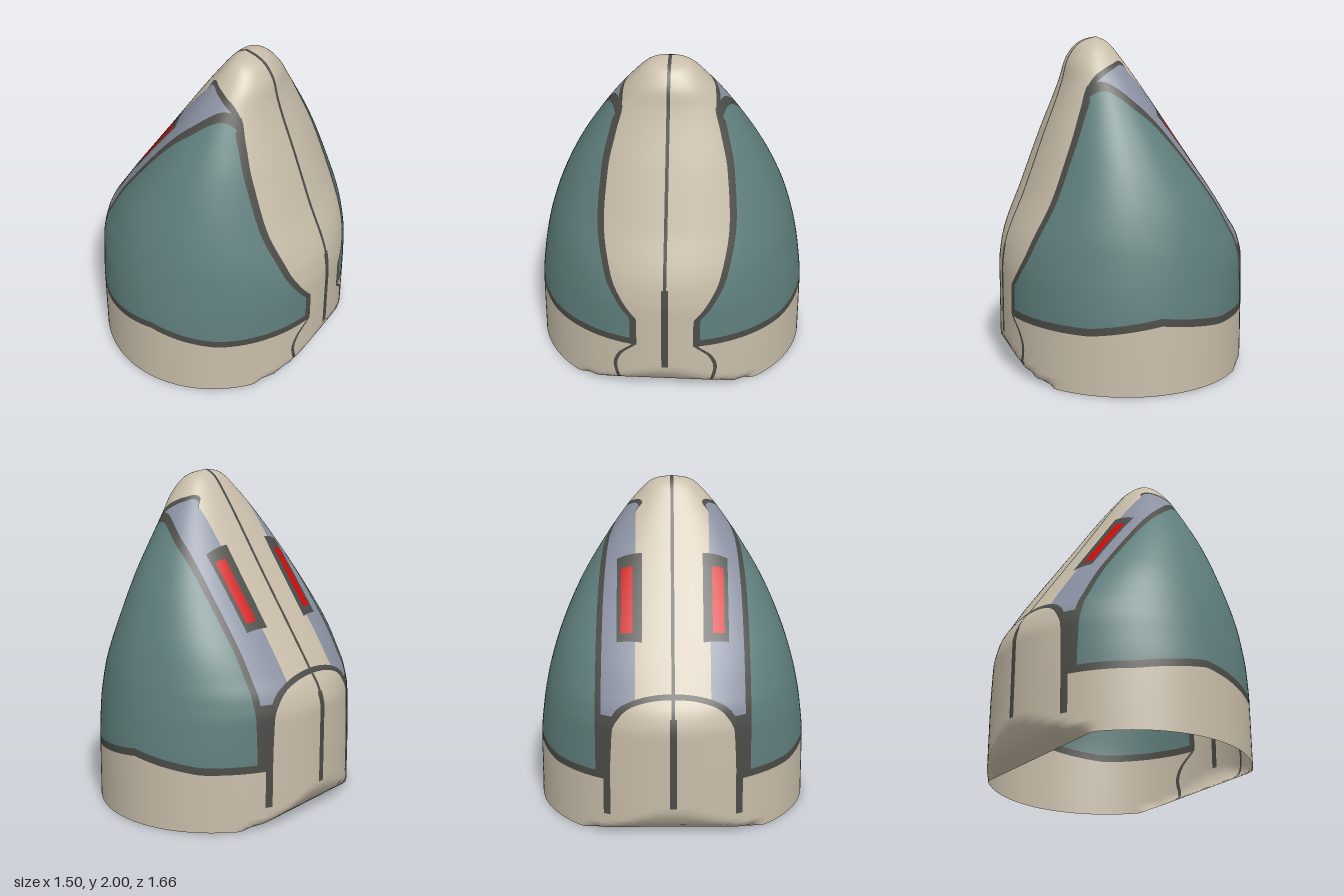
import * as THREE from 'three';

const mat = (name, color) => {
  const m = new THREE.MeshStandardMaterial({ color, side: THREE.DoubleSide });
  m.name = name;
  return m;
};

// Monotone smooth curve through [t, value] points
function curve(pts) {
  const n = pts.length;
  const d = pts.slice(1).map((p, i) => (p[1] - pts[i][1]) / (p[0] - pts[i][0]));
  const m = pts.map((p, i) => {
    if (i === 0) return d[0];
    if (i === n - 1) return d[n - 2];
    return d[i - 1] * d[i] <= 0 ? 0 : 2 * d[i - 1] * d[i] / (d[i - 1] + d[i]);
  });
  return t => {
    if (t <= pts[0][0]) return pts[0][1];
    if (t >= pts[n - 1][0]) return pts[n - 1][1];
    let i = 0;
    while (t > pts[i + 1][0]) i++;
    const h = pts[i + 1][0] - pts[i][0], s = (t - pts[i][0]) / h, s2 = s * s, s3 = s2 * s;
    return (2 * s3 - 3 * s2 + 1) * pts[i][1] + (s3 - 2 * s2 + s) * h * m[i]
      + (3 * s2 - 2 * s3) * pts[i + 1][1] + (s3 - s2) * h * m[i + 1];
  };
}

// Shell outline by height: low-x edge, high-x edge, half width in z, tucked-in hem
const lowX = curve([[0, -0.75], [0.66, -0.75], [0.78, -0.72], [0.88, -0.655], [1.4, -0.305],
  [1.9, 0.03], [1.95, 0.07], [1.98, 0.105], [2, 0.15]]);
const highX = curve([[0, 0.75], [0.6, 0.75], [0.74, 0.735], [1.1, 0.6], [1.4, 0.49], [1.75, 0.36],
  [1.85, 0.335], [1.9, 0.31], [1.95, 0.27], [1.98, 0.22], [2, 0.15]]);
const halfZ = curve([[0, 0.83], [0.4, 0.825], [0.6, 0.805], [0.8, 0.77], [1, 0.715], [1.2, 0.64],
  [1.4, 0.545], [1.6, 0.425], [1.8, 0.285], [1.9, 0.2], [1.95, 0.15], [1.98, 0.1], [2, 0]]);
const hem = curve([[0, 0.57], [0.03, 0.64], [0.08, 0.7], [0.14, 0.735], [0.2, 0.76]]);

// Lofted shell as triangles of [x, y, z, nx, ny, nz] corners
function shellTriangles(cols, rows) {
  const pos = [], index = [];
  const pw = (v, e) => Math.sign(v) * Math.abs(v) ** e;
  for (let r = 0; r <= rows; r++) {
    const y = 2 * Math.sin(r / rows * Math.PI / 2);
    const a = lowX(y), b = highX(y), w = halfZ(y);
    const blend = THREE.MathUtils.smoothstep(y, 0.7, 1.1);
    for (let c = 0; c < cols; c++) {
      const t = c / cols * Math.PI * 2, co = Math.cos(t), si = c % (cols / 2) ? Math.sin(t) : 0;
      const e = 2 / (2 + blend * (co < 0 ? 0.35 : 0.1));
      const x = (a + b) / 2 + (b - a) / 2 * pw(co, e);
      pos.push(THREE.MathUtils.clamp(x, -hem(y), hem(y)), y, w * pw(si, e));
      if (r < rows) {
        const p = r * cols + c, q = r * cols + (c + 1) % cols;
        index.push(p, p + cols, q, q, p + cols, q + cols);
      }
    }
  }
  const g = new THREE.BufferGeometry();
  g.setAttribute('position', new THREE.Float32BufferAttribute(pos, 3));
  g.setIndex(index);
  g.computeVertexNormals();
  const nor = g.attributes.normal.array;
  const corner = i => [...pos.slice(i * 3, i * 3 + 3), ...nor.slice(i * 3, i * 3 + 3)];
  const tris = [];
  for (let i = 0; i < index.length; i += 3) tris.push([0, 1, 2].map(k => corner(index[i + k])));
  return tris;
}

// Cut triangles along rules f(x, y, |z|, z) > 0; returns [inside all rules, the rest]
function split(tris, rules) {
  const rest = [];
  let inside = tris;
  for (const f of rules) {
    const next = [];
    for (const tri of inside) {
      const v = tri.map(p => f(p[0], p[1], Math.abs(p[2]), p[2]));
      const parts = [[], []];
      for (let i = 0; i < 3; i++) {
        const j = (i + 1) % 3;
        parts[v[i] > 0 ? 0 : 1].push(tri[i]);
        if ((v[i] > 0) !== (v[j] > 0)) {
          const s = v[i] / (v[i] - v[j]);
          const cut = tri[i].map((q, k) => q + (tri[j][k] - q) * s);
          parts[0].push(cut);
          parts[1].push(cut);
        }
      }
      parts.forEach((poly, k) => {
        for (let i = 2; i < poly.length; i++) (k ? rest : next).push([poly[0], poly[i - 1], poly[i]]);
      });
    }
    inside = next;
  }
  return [inside, rest];
}

function patch(name, tris, material) {
  const flat = tris.flat();
  const g = new THREE.BufferGeometry();
  g.setAttribute('position', new THREE.Float32BufferAttribute(flat.flatMap(p => p.slice(0, 3)), 3));
  g.setAttribute('normal', new THREE.Float32BufferAttribute(flat.flatMap(p => p.slice(3)), 3));
  const mesh = new THREE.Mesh(g, material);
  mesh.name = name;
  return mesh;
}

// Panel outlines
const ridgeEdge = curve([[0.36, 0.17], [0.54, 0.17], [0.58, 0.2], [0.65, 0.25], [0.8, 0.32],
  [1.1, 0.367], [1.4, 0.345], [1.6, 0.3], [1.75, 0.265], [1.85, 0.27]]);
const bandEdge = curve([[-0.7, 0.22], [0.02, 0.22], [0.04, 0.18], [0.12, 0.235], [0.2, 0.265], [0.28, 0.27]]);
const sideEdge = curve([[-0.7, 0.46], [-0.3, 0.45], [0, 0.42], [0.2, 0.34], [0.28, 0.31]]);
const hemLine = x => 0.355 + 0.06 * Math.max(0, 1 - Math.abs(x) / 0.4);
const cheekLine = curve([[0.05, 0.27], [0.1, 0.29], [0.18, 0.305], [0.26, 0.28], [0.36, 0.18]]);
const box = (x0, x1, z0, z1) => [
  (x, y, a) => x - x0 - (a - z0) * 0.2, (x, y, a) => x1 - x - (z1 - a) * 0.2,
  (x, y, a) => a - z0, (x, y, a) => z1 - a];

export function createModel() {
  const shellMat = mat('bone', 0xc8bda9), trim = mat('charcoal', 0x4b4c47);
  const teal = mat('teal', 0x5f7f7d), slate = mat('slate blue', 0x8b91a2), red = mat('red', 0xd20808);
  const group = new THREE.Group();
  group.name = 'helmetShell';

  let rest = shellTriangles(128, 90);
  const take = (name, material, rules) => {
    const [part, other] = split(rest, rules);
    rest = other;
    group.add(patch(name, part, material));
  };

  // Lights and their frames
  take('lights', red, box(-0.43, -0.18, 0.235, 0.305));
  take('lightFrames', trim, box(-0.47, -0.13, 0.18, 0.33));

  // Centre seams and thin grooves
  take('lowerSeams', trim, [(x, y, a, z) => z + 0.02, (x, y, a, z) => 0.02 - z,
    (x, y) => y - 0.2, (x, y) => 0.76 - y]);
  take('upperSeam', trim, [(x, y, a, z) => z + 0.01, (x, y, a, z) => 0.01 - z, (x, y) => y - 0.76]);
  take('endPanelGroove', trim, [x => x + 0.67, x => -0.65 - x, (x, y) => y - 0.13]);
  take('cheekGrooves', trim, [x => x - 0.3, (x, y, a) => a - cheekLine(y) + 0.011,
    (x, y, a) => cheekLine(y) + 0.011 - a, (x, y) => y - 0.05, (x, y) => 0.36 - y]);

  // Side panels on the high-x part
  const onHigh = x => x - 0.28, onLow = x => 0.28 - x;
  take('sidePanelsHigh', teal, [onHigh, (x, y, a) => a - ridgeEdge(y) - 0.04,
    (x, y) => y - hemLine(x) - 0.045]);
  take('sideTrimHigh', trim, [onHigh, (x, y, a) => a - ridgeEdge(y), (x, y) => y - hemLine(x)]);

  // Side panels and sloping bands on the low-x part
  const behind = x => x + 0.65;
  take('sidePanelsLow', teal, [onLow, behind, (x, y, a) => a - sideEdge(x),
    (x, y) => y - hemLine(x) - 0.045]);
  take('slopeBands', slate, [onLow, behind, (x, y) => y - 0.75,
    (x, y, a) => a - bandEdge(x) - 0.025 * THREE.MathUtils.smoothstep(x, 0.01, 0.05),
    (x, y, a) => sideEdge(x) - 0.035 - a]);
  take('sideTrimLow', trim, [onLow, behind, (x, y, a) => a - bandEdge(x), (x, y) => y - hemLine(x)]);

  group.add(patch('shell', rest, shellMat));
  return group;
}
